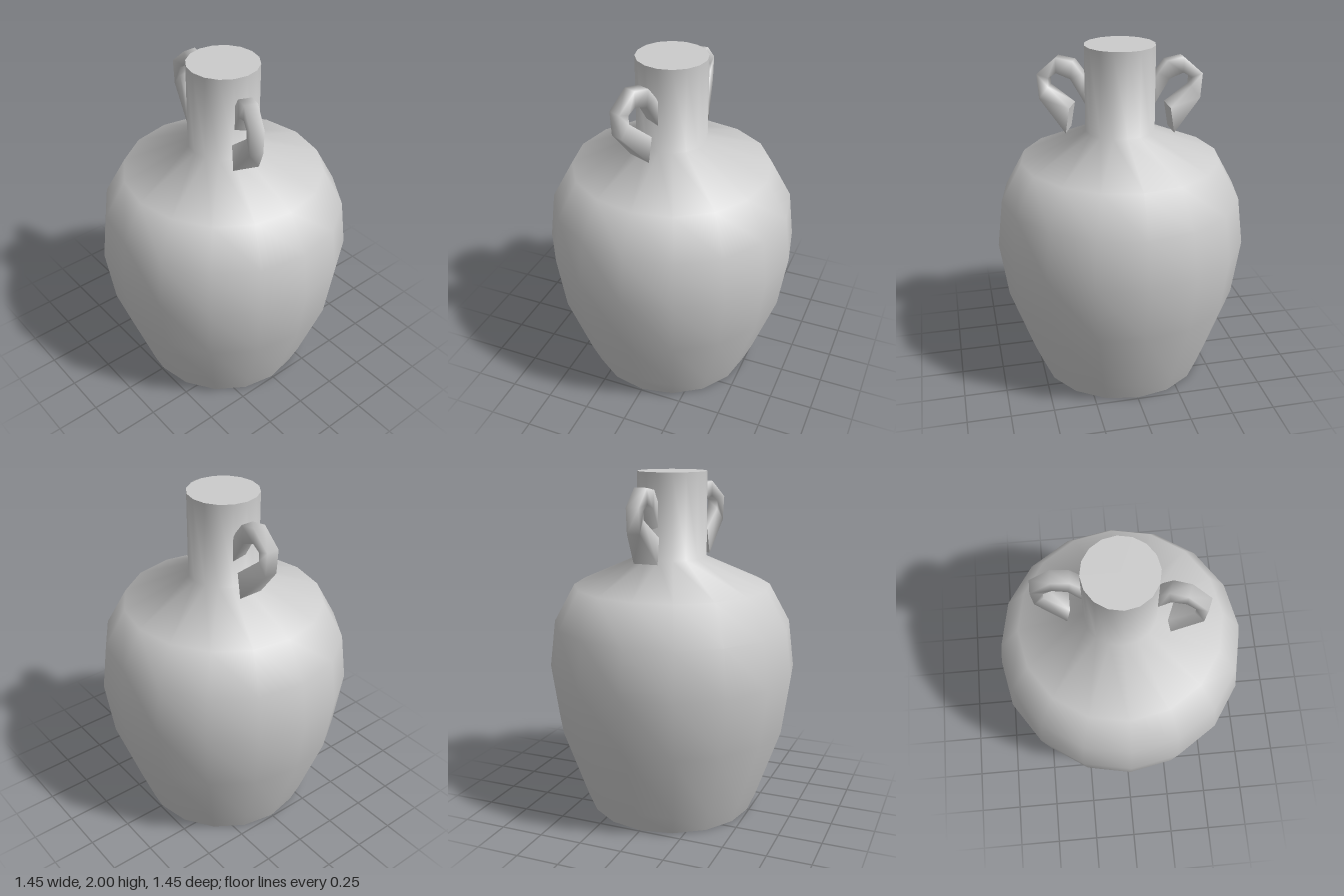
import * as THREE from 'three';

const material = new THREE.MeshStandardMaterial({ color: 0xcccccc });

// Handle cross-sections: outer edge (x, y), inner edge (x, y), half width
const SECTIONS = [
  [0.17, 1.79, 0.17, 1.65, 0.037],
  [0.20, 1.845, 0.205, 1.71, 0.037],
  [0.25, 1.91, 0.265, 1.81, 0.037],
  [0.347, 1.927, 0.345, 1.84, 0.037],
  [0.457, 1.83, 0.393, 1.81, 0.037],
  [0.447, 1.69, 0.393, 1.76, 0.037],
  [0.29, 1.506, 0.266, 1.652, 0.072],
];
const HANDLE_Z = -0.041;

// Square tube lofted through the sections; side mirrors it in x
function handleGeometry(side) {
  const positions = [];
  const index = [];
  const tri = (a, b, c) => (side > 0 ? index.push(a, b, c) : index.push(a, c, b));
  const quad = (a, b, c, d) => { tri(a, b, c); tri(a, c, d); };
  const addRing = ([ox, oy, ix, iy, w]) => {
    positions.push(
      side * ox, oy, HANDLE_Z + w, side * ox, oy, HANDLE_Z - w,
      side * ix, iy, HANDLE_Z - w, side * ix, iy, HANDLE_Z + w);
  };
  SECTIONS.forEach(addRing);
  for (let i = 0; i < SECTIONS.length - 1; i++) {
    for (let j = 0; j < 4; j++) {
      const k = (j + 1) % 4;
      quad(i * 4 + j, i * 4 + 4 + j, i * 4 + 4 + k, i * 4 + k);
    }
  }
  // End caps with their own vertices, so they stay flat
  const n = SECTIONS.length * 4;
  addRing(SECTIONS[0]);
  addRing(SECTIONS[SECTIONS.length - 1]);
  quad(n, n + 1, n + 2, n + 3);
  quad(n + 7, n + 6, n + 5, n + 4);

  const geometry = new THREE.BufferGeometry();
  geometry.setAttribute('position', new THREE.Float32BufferAttribute(positions, 3));
  geometry.setIndex(index);
  geometry.computeVertexNormals();
  return geometry;
}

export function createModel() {
  const group = new THREE.Group();
  const add = (name, geometry) => {
    const mesh = new THREE.Mesh(geometry, material);
    mesh.name = name;
    group.add(mesh);
    return mesh;
  };

  // Sixteen-sided jar with a straight neck
  const profile = [
    [0.49, 0], [0.54, 0.12], [0.68, 0.52], [0.727, 0.855],
    [0.693, 1.13], [0.572, 1.35], [0.2, 1.515], [0.2, 2],
  ].map(([r, y]) => new THREE.Vector2(r, y));
  add('body', new THREE.LatheGeometry(profile, 16));

  // Flat closed base and neck top
  const disc = (radius, facing) =>
    new THREE.CircleGeometry(radius, 16).rotateX(-facing * Math.PI / 2);
  add('base', disc(0.49, -1));
  add('neckTop', disc(0.2, 1)).position.y = 2;

  // Handles; the left one is turned towards the front
  add('rightHandle', handleGeometry(-1));
  add('leftHandle', handleGeometry(1)).rotation.y = -Math.PI / 8;

  return group;
}
